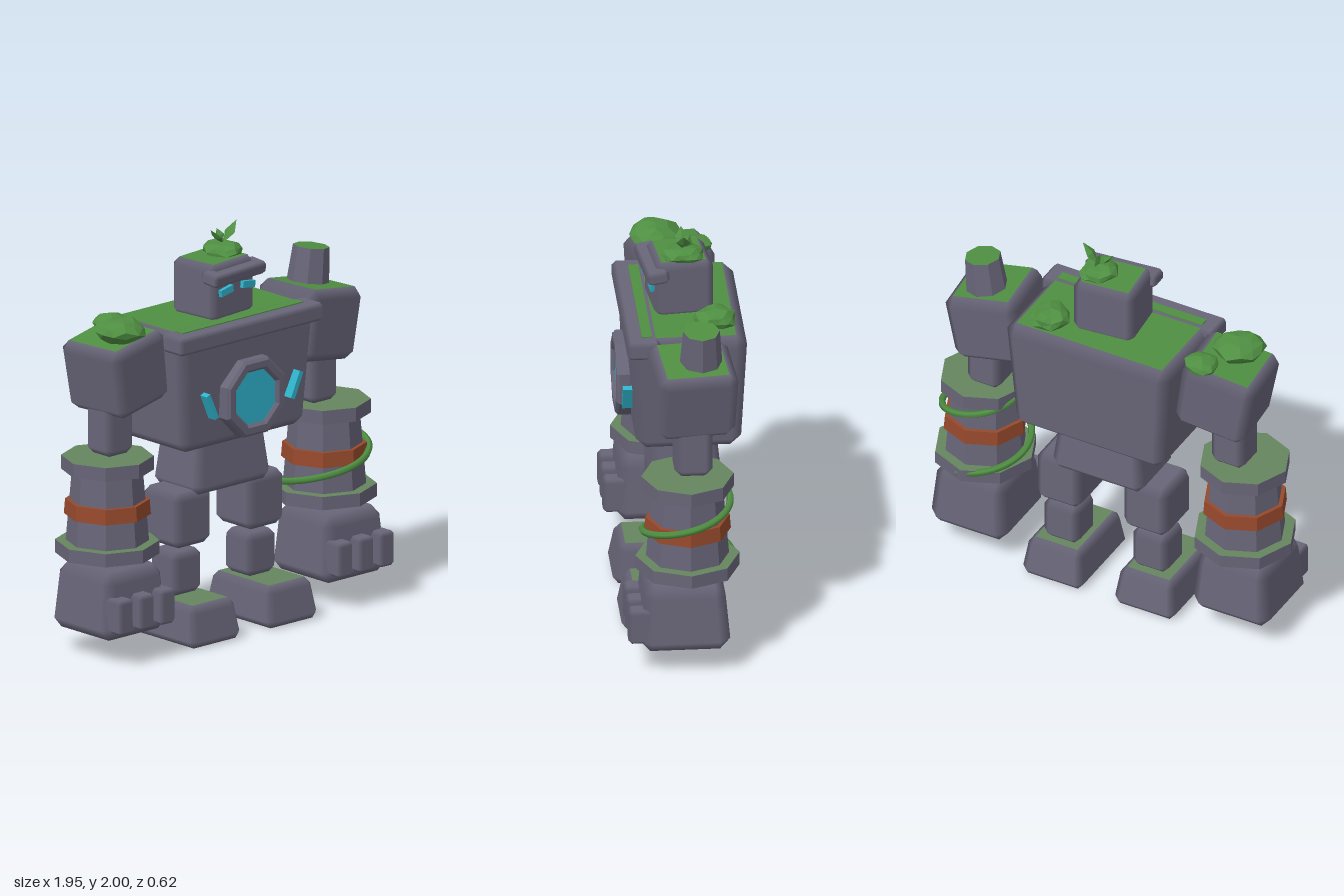
import * as THREE from 'three';
import { ConvexGeometry } from 'three/addons/geometries/ConvexGeometry.js';

const mat = (name, color, side = THREE.FrontSide) => {
  const m = new THREE.MeshStandardMaterial({ color, side });
  m.name = name;
  return m;
};

// Chamfered block, tapered in x and z towards the top, centred on the origin.
// Group 1 is the flat top, group 0 everything else.
function blockGeometry(w, h, d, c, top = 1) {
  const half = [w / 2, h / 2, d / 2];
  const points = [];
  for (const sx of [-1, 1]) for (const sy of [-1, 1]) for (const sz of [-1, 1])
    for (let k = 0; k < 3; k++) {
      const p = [sx, sy, sz].map((s, i) => s * (half[i] - (i === k ? 0 : c)));
      points.push(new THREE.Vector3(...p));
    }
  const geo = new ConvexGeometry(points);
  const pos = geo.attributes.position, nor = geo.attributes.normal;
  for (let i = 0; i < pos.count; i++) {
    const p = [pos.getX(i), pos.getY(i), pos.getZ(i)];
    const k = p.findIndex((v, a) => Math.abs(Math.abs(v) - half[a]) < 1e-5);
    const n = [0, 0, 0];
    n[k] = Math.sign(p[k]);
    if (k !== 1) n[1] = half[k] * (1 - top) / h; // lean of a tapered side
    nor.setXYZ(i, ...new THREE.Vector3(...n).normalize().toArray());
    const s = 1 + (top - 1) * (p[1] / h + 0.5);
    pos.setXYZ(i, p[0] * s, p[1], p[2] * s);
  }
  for (let i = 0; i < pos.count; i += 3) {
    const isTop = [0, 1, 2].every(j => nor.getY(i + j) > 0.95);
    geo.addGroup(i, 3, isTop ? 1 : 0);
  }
  return geo;
}

// Lumpy flattened clump
function clumpGeometry(rx, ry, rz, seed) {
  const geo = new THREE.IcosahedronGeometry(1, 1);
  const p = geo.attributes.position;
  for (let i = 0; i < p.count; i++) {
    const x = p.getX(i), y = p.getY(i), z = p.getZ(i);
    const s = 1 + 0.1 * Math.sin(5 * x + 4 * y + 7 * z + seed);
    p.setXYZ(i, x * s * rx, y * s * ry, z * s * rz);
  }
  geo.computeVertexNormals();
  return geo;
}

export function createModel() {
  const model = new THREE.Group();
  model.name = 'stoneGolem';
  const stone = mat('stone', 0x686578);
  const moss = mat('moss', 0x4f8f42);
  const dusty = mat('dustyMoss', 0x65855f);
  const crystal = mat('crystal', 0x2fb3cb);
  const rust = mat('rust', 0x96492c);

  const add = (parent, name, geo, material, x, y, z, rx = 0, ry = 0, rz = 0) => {
    const m = new THREE.Mesh(geo, material);
    m.name = name;
    m.position.set(x, y, z);
    m.rotation.set(rx, ry, rz);
    parent.add(m);
    return m;
  };
  const bare = [stone, stone], mossy = [stone, moss], faded = [stone, dusty];

  // Torso: wide top, narrow base; shelf across the chest
  const torso = blockGeometry(0.82, 0.61, 0.51, 0.05, 1.12);
  add(model, 'torso', torso, mossy, 0, 1.275, -0.025);
  add(model, 'chestShelf', blockGeometry(0.955, 0.09, 0.16, 0.02), bare, 0, 1.537, 0.2);
  add(model, 'shelfMoss', new THREE.BoxGeometry(0.8, 0.008, 0.05), moss, 0, 1.583, 0.18);
  add(model, 'pelvis', blockGeometry(0.52, 0.29, 0.36, 0.045, 0.85), bare, 0, 0.855, -0.02);

  // Chest crystal in an octagonal frame
  const octagon = (shape, r) => {
    for (let i = 0; i < 8; i++) {
      const a = (i + 0.5) * Math.PI / 4;
      shape[i ? 'lineTo' : 'moveTo'](r * Math.cos(a), r * Math.sin(a));
    }
    shape.closePath();
    return shape;
  };
  const frame = octagon(new THREE.Shape(), 0.192);
  frame.holes.push(octagon(new THREE.Path(), 0.158));
  add(model, 'crystalFrame', new THREE.ExtrudeGeometry(frame, {
    depth: 0.1, bevelEnabled: true, bevelSize: 0.014, bevelThickness: 0.014, bevelSegments: 1,
  }), stone, 0, 1.203, 0.195);
  add(model, 'chestCrystal', new THREE.CylinderGeometry(0.15, 0.15, 0.08, 8, 1, false, Math.PI / 8),
    crystal, 0, 1.203, 0.25, Math.PI / 2);
  for (const s of [-1, 1])
    add(model, 'chestSliver', new THREE.BoxGeometry(0.026, 0.14, 0.06), crystal, s * 0.28, 1.205, 0.26, 0, 0, -s * 0.43);

  // Head with brow and eyes
  const head = new THREE.Group();
  head.name = 'head';
  head.position.set(0, 1.58, -0.01);
  head.rotation.y = 0.1;
  model.add(head);
  add(head, 'skull', blockGeometry(0.32, 0.29, 0.29, 0.035), mossy, 0, 0.13, 0);
  add(head, 'brow', blockGeometry(0.38, 0.065, 0.11, 0.018), bare, 0, 0.215, 0.135, 0.12);
  for (const s of [-1, 1])
    add(head, 'eye', new THREE.BoxGeometry(0.088, 0.034, 0.03), crystal, s * 0.08, 0.143, 0.15, 0, 0, -s * 0.15);

  // Moss clumps and the sprout
  const clumps = [
    [0.068, 1.87, -0.025, 0.092, 0.042, 0.105],
    [-0.665, 1.62, 0.05, 0.125, 0.062, 0.122],
    [-0.56, 1.605, -0.14, 0.088, 0.04, 0.08],
    [0.262, 1.61, -0.165, 0.097, 0.055, 0.105],
  ];
  clumps.forEach(([x, y, z, rx, ry, rz], i) =>
    add(model, 'mossClump', clumpGeometry(rx, ry, rz, i * 2), moss, x, y, z));
  for (const [len, rx, rz] of [[0.115, 0, 0.8], [0.135, 0, -0.72], [0.08, -0.5, 0.1]]) {
    const leaf = new THREE.OctahedronGeometry(1).scale(0.014, len / 2, 0.035).translate(0, len / 2, 0);
    add(model, 'leaf', leaf, moss, 0.075, 1.9, -0.02, rx, 0, rz);
  }

  for (const s of [-1, 1]) {
    const side = s > 0 ? 'left' : 'right';

    // Arm
    const arm = new THREE.Group();
    arm.name = side + 'Arm';
    model.add(arm);
    add(arm, 'shoulder', blockGeometry(0.37, 0.36, 0.38, 0.045, 1.05), mossy, s * 0.635, 1.405, -0.02, 0, 0.1, -s * 0.16);
    add(arm, 'elbow', blockGeometry(0.185, 0.3, 0.185, 0.035), bare, s * 0.677, 1.14, -0.018);
    const ring = (name, rt, rb, y0, y1, mats) =>
      add(arm, name, new THREE.CylinderGeometry(rt, rb, y1 - y0, 8).toNonIndexed(), mats, s * 0.72, (y0 + y1) / 2, 0.01)
        .geometry.computeVertexNormals();
    const capped = [stone, dusty, stone];
    ring('forearm', 0.172, 0.205, 0.54, 0.93, [stone, stone, stone]);
    ring('upperCuff', 0.226, 0.226, 0.92, 0.99, capped);
    ring('lowerCuff', 0.255, 0.255, 0.495, 0.562, capped);
    ring('rustBand', 0.206, 0.212, 0.695, 0.77, [rust, rust, rust]);

    // Fist with three knuckles
    add(arm, 'fist', blockGeometry(0.435, 0.335, 0.45, 0.055, 0.86), bare, s * 0.728, 0.292, 0.035);
    for (const k of [-1, 0, 1])
      add(arm, 'finger', blockGeometry(0.098, 0.175, 0.12, 0.018), bare, s * 0.727 + k * 0.138, 0.258, 0.253);

    // Leg
    const leg = new THREE.Group();
    leg.name = side + 'Leg';
    model.add(leg);
    add(leg, 'thigh', blockGeometry(0.248, 0.28, 0.28, 0.04), bare, s * 0.24, 0.595, -0.01);
    add(leg, 'shin', blockGeometry(0.198, 0.22, 0.2, 0.035), bare, s * 0.246, 0.315, -0.01);
    add(leg, 'foot', blockGeometry(0.345, 0.205, 0.5, 0.035, 0.84), faded, s * 0.255, 0.1025, 0.06);
  }

  // Broken stump on the left shoulder
  const stump = new THREE.CylinderGeometry(0.09, 0.107, 0.22, 8).toNonIndexed();
  stump.computeVertexNormals();
  add(model, 'shoulderStump', stump, [stone, moss, stone], 0.683, 1.645, -0.06, 0, 0, -0.13);

  // Vine winding up the left forearm
  const vinePoints = [];
  for (let i = 0; i <= 22; i++) {
    const t = i / 22, a = -Math.PI * 1.05 + t * Math.PI * 2.6;
    const r = 0.232 - 0.03 * t;
    vinePoints.push(new THREE.Vector3(0.72 + r * Math.sin(a), 0.70 + 0.17 * a / Math.PI, 0.01 + r * Math.cos(a)));
  }
  add(model, 'vine', new THREE.TubeGeometry(new THREE.CatmullRomCurve3(vinePoints), 66, 0.018, 5), moss, 0, 0, 0);

  return model;
}
